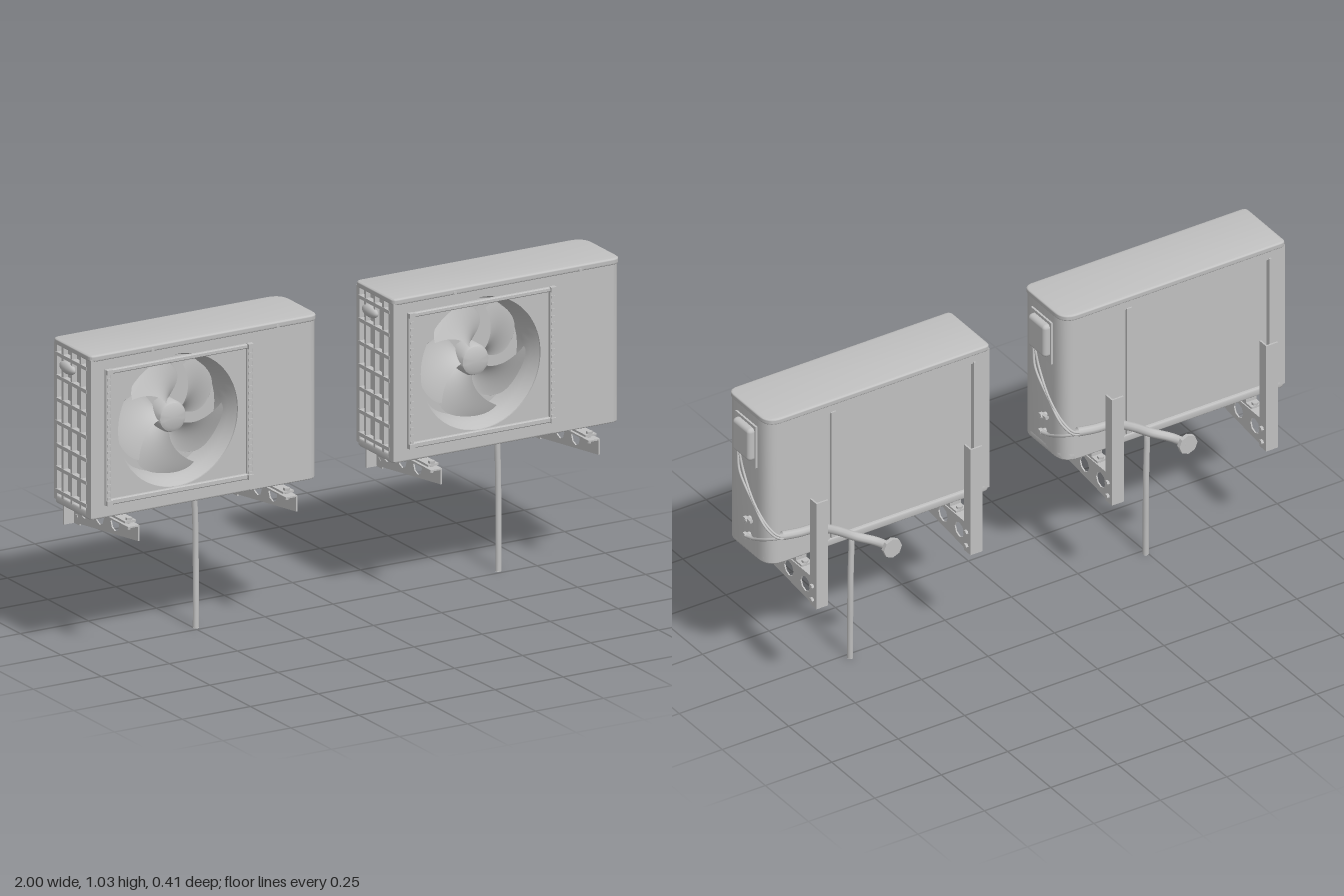
import * as THREE from 'three';
import { RoundedBoxGeometry } from 'three/addons/geometries/RoundedBoxGeometry.js';
import { ParametricGeometry } from 'three/addons/geometries/ParametricGeometry.js';
import { toCreasedNormals } from 'three/addons/utils/BufferGeometryUtils.js';

const grey = new THREE.MeshStandardMaterial({ color: 0xc0c0c0, side: THREE.DoubleSide });
grey.name = 'light grey metal';
const FAN = [-0.664, 0.77];

function add(parent, name, geo, x = 0, y = 0, z = 0) {
  const m = new THREE.Mesh(geo, grey);
  m.name = name;
  m.position.set(x, y, z);
  parent.add(m);
  return m;
}

// Box given by its limits on each axis
function box(parent, name, x0, x1, y0, y1, z0, z1) {
  return add(parent, name, new THREE.BoxGeometry(x1 - x0, y1 - y0, z1 - z0),
    (x0 + x1) / 2, (y0 + y1) / 2, (z0 + z1) / 2);
}

function rod(parent, name, axis, r, len, x, y, z, sides = 12) {
  const g = new THREE.CylinderGeometry(r, r, len, sides);
  if (axis === 'x') g.rotateZ(Math.PI / 2);
  if (axis === 'z') g.rotateX(Math.PI / 2);
  return add(parent, name, toCreasedNormals(g, 0.7), x, y, z);
}

function tube(parent, name, pts, r, segs = 40) {
  const curve = new THREE.CatmullRomCurve3(pts.map(p => new THREE.Vector3(...p)));
  return add(parent, name, new THREE.TubeGeometry(curve, segs, r, 10));
}

// Upright prism with an x-z outline; radii are for front left, front right, back right, back left
function prism(parent, name, x0, x1, z0, z1, y0, y1, [a, b, c, d], bevel = 0) {
  const s = new THREE.Shape();
  s.moveTo(x0 + a, -z1);
  s.lineTo(x1 - b, -z1); s.quadraticCurveTo(x1, -z1, x1, -z1 + b);
  s.lineTo(x1, -z0 - c); s.quadraticCurveTo(x1, -z0, x1 - c, -z0);
  s.lineTo(x0 + d, -z0); s.quadraticCurveTo(x0, -z0, x0, -z0 - d);
  s.lineTo(x0, -z1 + a); s.quadraticCurveTo(x0, -z1, x0 + a, -z1);
  const g = new THREE.ExtrudeGeometry(s, { depth: y1 - y0 - 2 * bevel, curveSegments: 8,
    bevelEnabled: bevel > 0, bevelSize: bevel, bevelOffset: -bevel, bevelThickness: bevel, bevelSegments: 3 });
  g.rotateX(-Math.PI / 2);
  return add(parent, name, toCreasedNormals(g, 0.6), 0, y0 + bevel, 0);
}

function rectShape(x0, x1, y0, y1) {
  return new THREE.Shape([[x0, y0], [x1, y0], [x1, y1], [x0, y1]].map(p => new THREE.Vector2(...p)));
}

// Front plate with the round fan opening
function fanPlate(parent, name, x0, z0, z1) {
  const s = rectShape(x0, -0.4, 0.495, 1.02);
  s.holes.push(new THREE.Path().absarc(...FAN, 0.22, 0, Math.PI * 2, true));
  const g = new THREE.ExtrudeGeometry(s, { depth: z1 - z0, bevelEnabled: false, curveSegments: 48 });
  add(parent, name, toCreasedNormals(g, 0.6), 0, 0, z0);
}

function casing(unit) {
  const g = new THREE.Group();
  g.name = 'casing';
  prism(g, 'compressorHousing', -0.4, -0.15, -0.074, 0.155, 0.493, 1.02, [0, 0.035, 0.06, 0.03]);
  box(g, 'coilBlock', -0.967, -0.39, 0.5, 1.02, -0.062, 0.045);
  fanPlate(g, 'fanHousing', -0.967, 0.045, 0.125);
  fanPlate(g, 'frontPanel', -0.984, 0.125, 0.155);
  prism(g, 'lid', -0.986, -0.147, -0.078, 0.158, 1.014, 1.035, [0.02, 0.035, 0.055, 0.02], 0.006);
  prism(g, 'basePan', -0.984, -0.15, -0.074, 0.153, 0.488, 0.515, [0.02, 0.035, 0.06, 0.02], 0.005);
  // Back corner post and the rails around the coil
  box(g, 'cornerPost', -0.984, -0.93, 0.5, 1.02, -0.074, -0.055);
  box(g, 'coilTopRail', -0.95, -0.37, 0.985, 1.018, -0.074, -0.055);
  box(g, 'coilSideRail', -0.405, -0.385, 0.52, 0.99, -0.079, -0.06);
  box(g, 'coilSideRail', -0.93, -0.922, 0.52, 0.99, -0.079, -0.06);
  // Open lattice on the end of the coil
  for (let i = 0; i <= 6; i++) {
    const y = 0.53 + i * 0.076;
    box(g, 'latticeBar', -0.986, -0.962, y - 0.006, y + 0.006, -0.06, 0.13);
  }
  for (const z of [-0.02, 0.035, 0.09]) box(g, 'latticePost', -0.984, -0.962, 0.51, 1.02, z - 0.005, z + 0.005);
  const grip = add(g, 'endGrip', new THREE.SphereGeometry(1, 20, 12), -0.982, 0.955, 0.008);
  grip.scale.set(0.015, 0.02, 0.045);
  for (const x of [-0.76, -0.3]) rod(g, 'lidScrew', 'z', 0.006, 0.006, x, 1.02, 0.159);
  unit.add(g);
}

function fan(unit) {
  const g = new THREE.Group();
  g.name = 'fan';
  g.position.set(...FAN, 0);
  // Flared shroud
  const flare = [[0.198, 0.047], [0.199, 0.08], [0.205, 0.115], [0.22, 0.15]].map(p => new THREE.Vector2(...p));
  add(g, 'shroud', new THREE.LatheGeometry(flare, 48).rotateX(Math.PI / 2));
  const hub = [[0, 0.13], [0.035, 0.13], [0.047, 0.124], [0.052, 0.112], [0.052, 0.06]].map(p => new THREE.Vector2(...p));
  add(g, 'hub', toCreasedNormals(new THREE.LatheGeometry(hub, 32).rotateX(Math.PI / 2), 0.6));
  // Swept, twisted blades
  const blade = new ParametricGeometry((u, v, out) => {
    const side = 2 * v - 1;
    const r = 0.045 + u * (0.148 - 0.018 * side ** 4);
    const a = 0.5 * u * u - 0.15 + side * (0.36 + 0.24 * Math.sin(u * 2.3));
    out.set(r * Math.cos(a), r * Math.sin(a), 0.092 + side * 0.026 + 0.012 * u * side * side);
  }, 14, 14);
  for (let i = 0; i < 5; i++) {
    add(g, 'blade', blade).rotation.z = (100 + i * 72) * Math.PI / 180;
  }
  unit.add(g);
}

function grille(unit) {
  const g = new THREE.Group();
  g.name = 'grilleFrame';
  const s = rectShape(-0.934, -0.394, 0.532, 0.982);
  s.holes.push(rectShape(-0.914, -0.414, 0.55, 0.967));
  add(g, 'frame', new THREE.ExtrudeGeometry(s, { depth: 0.01, bevelEnabled: true, bevelSize: 0.003,
    bevelOffset: -0.003, bevelThickness: 0.003, bevelSegments: 1 }), 0, 0, 0.152);
  for (const x of [-0.923, -0.404]) {
    for (let i = 0; i < 20; i++) box(g, 'frameNotch', x - 0.006, x + 0.006, 0.55 + i * 0.022, 0.558 + i * 0.022, 0.16, 0.168);
    for (const y of [0.54, 0.975]) box(g, 'frameClip', x - 0.01, x + 0.01, y - 0.008, y + 0.008, 0.155, 0.172);
  }
  unit.add(g);
}

function connections(unit) {
  const g = new THREE.Group();
  g.name = 'connections';
  // Terminal cover
  box(g, 'coverPlate', -0.152, -0.143, 0.83, 0.985, -0.012, 0.105);
  add(g, 'terminalCover', new RoundedBoxGeometry(0.036, 0.12, 0.1, 3, 0.014), -0.139, 0.915, 0.043);
  // Valves
  for (const [y, z] of [[0.622, 0.027], [0.56, 0.03]]) {
    rod(g, 'valveStem', 'x', 0.008, 0.035, -0.142, y, z);
    rod(g, 'valveNut', 'x', 0.012, 0.012, -0.131, y, z, 6);
    rod(g, 'valveCap', 'z', 0.007, 0.03, -0.136, y + 0.004, z - 0.013, 6);
  }
  // Cables from the cover and pipes from the valves meet behind the housing
  for (const d of [0, 0.009]) {
    tube(g, 'cable', [[-0.127, 0.86, 0.065 - d], [-0.12 - d, 0.8, 0.045 - d], [-0.12, 0.72, -0.035 - d],
      [-0.121 - d, 0.665, -0.11], [-0.15, 0.633 + d, -0.138], [-0.21, 0.63, -0.138]], 0.004);
  }
  tube(g, 'thinPipe', [[-0.13, 0.56, 0.025], [-0.128, 0.58, -0.03], [-0.13, 0.615, -0.1],
    [-0.16, 0.63, -0.135], [-0.22, 0.63, -0.136]], 0.005);
  tube(g, 'wrappedPipe', [[-0.165, 0.635, -0.132], [-0.22, 0.63, -0.138], [-0.3, 0.615, -0.128], [-0.38, 0.57, -0.115],
    [-0.45, 0.525, -0.118], [-0.51, 0.502, -0.15], [-0.535, 0.497, -0.2]], 0.015, 50);
  rod(g, 'wallFlange', 'z', 0.034, 0.014, -0.535, 0.497, -0.199, 8);
  // Drain
  rod(g, 'drainSpout', 'y', 0.015, 0.02, -0.555, 0.482, -0.02);
  tube(g, 'drainHose', [[-0.56, 0.478, -0.02], [-0.525, 0.47, -0.022], [-0.5, 0.455, -0.025], [-0.494, 0.4, -0.027],
    [-0.49, 0.25, -0.028], [-0.493, 0.1, -0.022], [-0.495, 0.002, -0.019]], 0.01, 50);
  add(g, 'hoseEnd', new THREE.CircleGeometry(0.01, 10).rotateX(Math.PI / 2), -0.495, 0.001, -0.019);
  unit.add(g);
}

function bracket(unit, x) {
  const g = new THREE.Group();
  g.name = 'wallBracket';
  g.position.x = x;
  // Tapered arm with round holes; drawn with z along the shape's horizontal axis
  const s = new THREE.Shape([[0.208, 0.412], [0.208, 0.465], [-0.19, 0.465], [-0.19, 0.362]].map(p => new THREE.Vector2(...p)));
  for (const [z, y] of [[0.065, 0.431], [-0.03, 0.426], [-0.125, 0.419]]) {
    s.holes.push(new THREE.Path().absarc(z, y, 0.027, 0, Math.PI * 2));
  }
  const arm = new THREE.ExtrudeGeometry(s, { depth: 0.005, bevelEnabled: false, curveSegments: 4 }).rotateY(-Math.PI / 2);
  add(g, 'arm', arm, 0.02);
  box(g, 'armTopFlange', -0.022, 0.02, 0.46, 0.465, -0.19, 0.208);
  // Wall post
  box(g, 'postWeb', -0.022, 0.022, 0.36, 0.755, -0.194, -0.188);
  box(g, 'postFlange', 0.016, 0.022, 0.36, 0.755, -0.194, -0.156);
  for (const y of [0.385, 0.435]) rod(g, 'armBolt', 'x', 0.009, 0.018, 0.022, y, -0.172, 6);
  for (const y of [0.56, 0.72]) rod(g, 'wallBolt', 'z', 0.009, 0.014, -0.004, y, -0.186, 6);
  // Foot of the casing with its bolts
  box(g, 'foot', -0.02, 0.02, 0.47, 0.477, -0.105, 0.187);
  for (const z of [0.1, -0.06]) box(g, 'footPad', -0.02, 0.02, 0.475, 0.492, z - 0.012, z + 0.012);
  for (const z of [0.176, -0.094]) {
    rod(g, 'footBolt', 'y', 0.006, 0.04, 0, 0.465, z);
    rod(g, 'footNut', 'y', 0.011, 0.01, 0, 0.48, z, 6);
  }
  unit.add(g);
}

export function createModel() {
  const model = new THREE.Group();
  model.name = 'outdoorUnits';
  for (const [name, offset] of [['rightUnit', 0.002], ['leftUnit', 1.114]]) {
    const unit = new THREE.Group();
    unit.name = name;
    unit.position.x = offset;
    casing(unit);
    fan(unit);
    grille(unit);
    connections(unit);
    for (const x of [-0.857, -0.277]) bracket(unit, x);
    model.add(unit);
  }
  return model;
}
